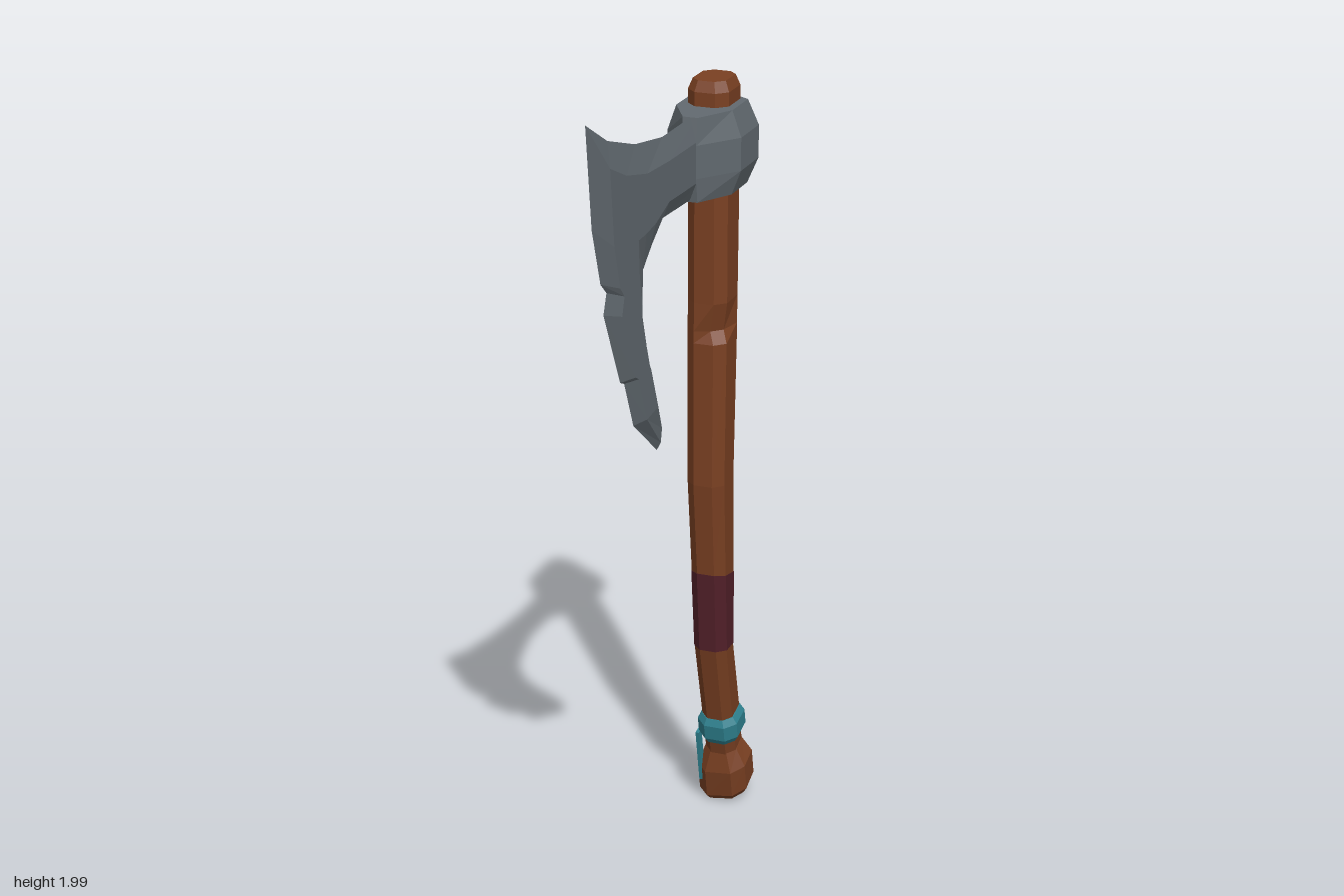
import * as THREE from 'three';

const mat = (name, color) => {
  const m = new THREE.MeshStandardMaterial({ color, flatShading: true });
  m.name = name;
  return m;
};

// Skin closed rings of equal point count and cap both ends.
function loft(name, rings, material) {
  const tris = [], n = rings[0].length;
  for (let i = 0; i + 1 < rings.length; i++) {
    for (let j = 0; j < n; j++) {
      const k = (j + 1) % n;
      const [a, b, c, d] = [rings[i][j], rings[i][k], rings[i + 1][k], rings[i + 1][j]];
      tris.push([a, b, c], [a, c, d]);
    }
  }
  const last = rings[rings.length - 1];
  for (let j = 1; j + 1 < n; j++) {
    tris.push([rings[0][0], rings[0][j + 1], rings[0][j]], [last[0], last[j], last[j + 1]]);
  }
  // Signed volume tells whether the faces point outwards
  const centre = new THREE.Vector3();
  rings.flat().forEach((p) => centre.add(p));
  centre.divideScalar(n * rings.length);
  const rel = (p) => p.clone().sub(centre);
  const volume = tris.reduce((s, [a, b, c]) => s + rel(a).dot(rel(b).cross(rel(c))), 0);
  if (volume < 0) tris.forEach((t) => t.reverse());
  const geo = new THREE.BufferGeometry().setFromPoints(tris.flat());
  geo.computeVertexNormals();
  const mesh = new THREE.Mesh(geo, material);
  mesh.name = name;
  return mesh;
}

// Chamfered rectangle across the handle; tilt lowers its front, roll lifts its left.
function ring(y, z, w, d, tilt = 0, roll = 0, nick = 0) {
  const c = Math.min(w, d) * 0.5;
  const pts = [[w, d - c], [w - c, d], [c - w, d], [-w, d - c], [-w, c - d], [c - w, -d], [w - c, -d], [w, c - d]];
  return pts.map(([x, u], i) => {
    const cut = i < 2 ? nick : 0;
    return new THREE.Vector3(x - cut, y - u * Math.sin(tilt) + x * roll, z + (u - cut) * Math.cos(tilt));
  });
}

export function createModel() {
  const wood = mat('wood', 0x7a4022);
  const steel = mat('steel', 0x626a70);
  const leather = mat('darkLeather', 0x522029);
  const teal = mat('tealCord', 0x2f8290);
  const axe = new THREE.Group();
  axe.name = 'axe';

  // Handle, with a small chip out of one corner
  axe.add(loft('upperHandle', [
    ring(1.92, -0.29, 0.04, 0.053),
    ring(1.895, -0.29, 0.05, 0.063),
    ring(1.66, -0.291, 0.049, 0.063),
    ring(1.39, -0.289, 0.049, 0.06),
    ring(1.32, -0.287, 0.049, 0.06, 0, 0, 0.012),
    ring(1.29, -0.287, 0.049, 0.06),
    ring(0.93, -0.281, 0.047, 0.055),
    ring(0.678, -0.3, 0.044, 0.051, -0.2),
  ], wood));
  axe.add(loft('gripWrap', [
    ring(0.678, -0.3, 0.045, 0.052, -0.2),
    ring(0.475, -0.312, 0.043, 0.045),
  ], leather));
  axe.add(loft('lowerHandle', [
    ring(0.475, -0.312, 0.042, 0.044),
    ring(0.27, -0.366, 0.04, 0.046, 0.25),
    ring(0.15, -0.394, 0.04, 0.042, 0.3),
  ], wood));
  axe.add(loft('pommel', [
    ring(0.168, -0.391, 0.041, 0.042, 0.3),
    ring(0.118, -0.4, 0.063, 0.058, 0.38, 0.1),
    ring(0.045, -0.415, 0.063, 0.058, 0.38, 0.15),
    ring(0.028, -0.418, 0.053, 0.048, 0.38, 0.15),
  ], wood));

  // Cord band and its loose end
  axe.add(loft('cordBand', [
    ring(0.272, -0.366, 0.042, 0.048, 0.25),
    ring(0.255, -0.369, 0.052, 0.056, 0.25),
    ring(0.215, -0.378, 0.052, 0.056, 0.25),
    ring(0.198, -0.382, 0.042, 0.048, 0.25),
  ], teal));
  const cordEnd = new THREE.Mesh(new THREE.BoxGeometry(0.009, 0.15, 0.02), teal);
  cordEnd.name = 'cordEnd';
  cordEnd.position.set(-0.052, 0.135, -0.36);
  cordEnd.rotation.x = 0.2;
  axe.add(cordEnd);

  // Socket around the handle, bulging at mid height
  const socket = (y, w, back, front) => [
    [0, back], [w, back + 0.045], [w, -0.225], [0.018, front],
    [-0.018, front], [-w, -0.225], [-w, back + 0.045],
  ].map(([x, z]) => new THREE.Vector3(x, y, z));
  axe.add(loft('socket', [
    socket(1.862, 0.068, -0.375, -0.135), socket(1.8, 0.09, -0.39, -0.125),
    socket(1.722, 0.09, -0.39, -0.125), socket(1.664, 0.068, -0.375, -0.135),
  ], steel));

  // Bearded blade: outer edge z, y, then inner edge z, y, from the socket to the beard tip
  const stations = [
    [-0.2, 1.861, -0.2, 1.666],
    [0.04, 1.862, 0.04, 1.676],
    [0.2, 1.888, 0.1, 1.635],
    [0.355, 1.936, 0.13, 1.612],
    [0.474, 2.0, 0.155, 1.592],
    [0.445, 1.767, 0.157, 1.56],
    [0.4, 1.634, 0.158, 1.535],
    [0.367, 1.605, 0.159, 1.52],
    [0.385, 1.56, 0.16, 1.486],
    [0.293, 1.375, 0.123, 1.37],
    [0.27, 1.365, 0.12, 1.36],
    [0.217, 1.247, 0.08, 1.26],
    [0.074, 1.136, 0.058, 1.2],
  ];
  axe.add(loft('blade', stations.map(([z0, y0, z1, y1], i) => {
    const at = (t, x) => new THREE.Vector3(x, y0 + (y1 - y0) * t, z0 + (z1 - z0) * t);
    const h = i === stations.length - 1 ? 0.008 : 0.018;
    return [at(0, 0), at(0.28, h), at(0.78, h), at(1, 0), at(0.78, -h), at(0.28, -h)];
  }), steel));
  return axe;
}
